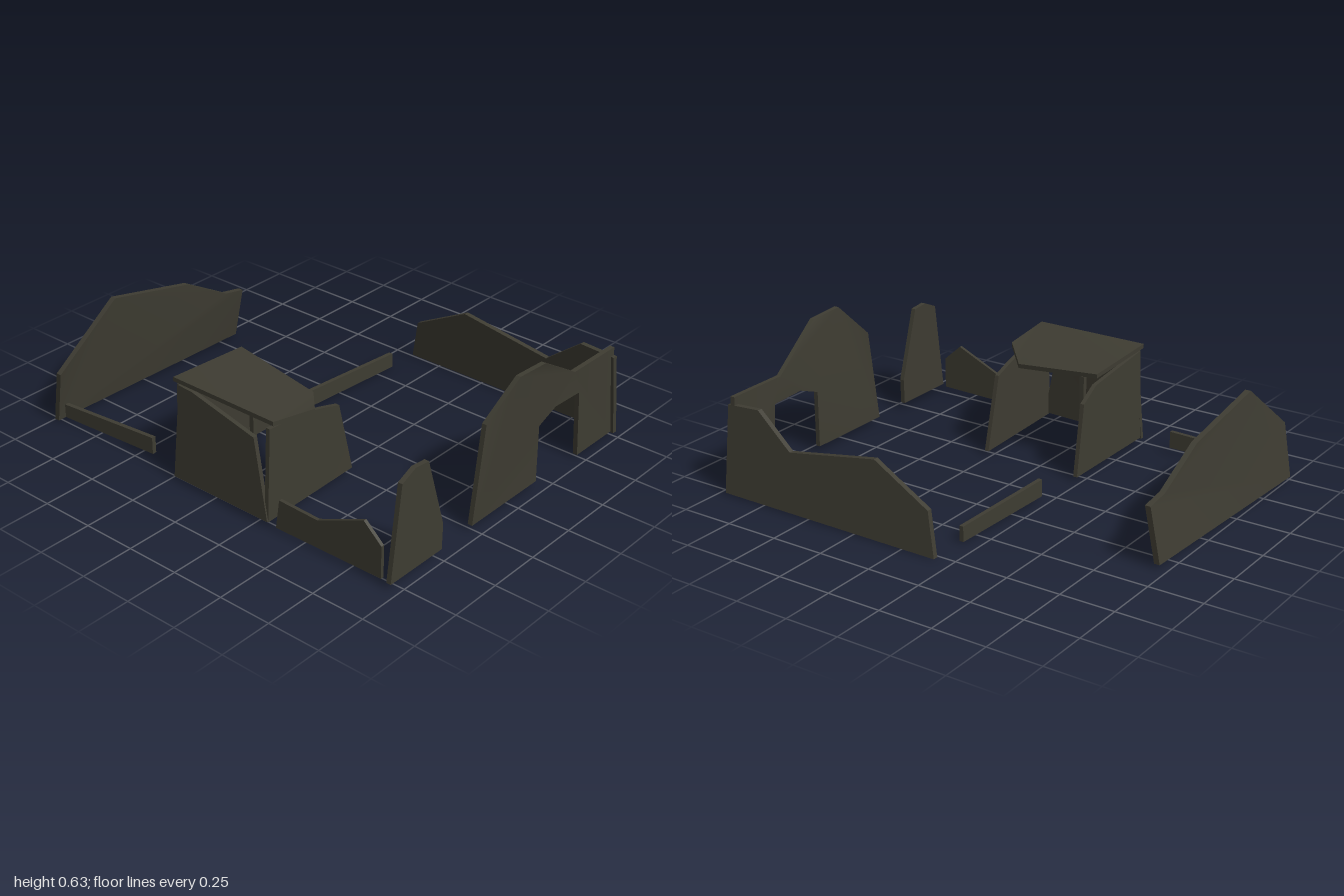
import * as THREE from 'three';

const stone = new THREE.MeshStandardMaterial({ color: 0x3e3c32 });
stone.name = 'dark stone';

// Thin slab: an outline of 3D points thickened along one axis (0 = x, 1 = y, 2 = z).
// Points may lie off the plane, so walls can lean and bow.
function slab(name, outline, axis, thickness) {
  const a = (axis + 1) % 3, b = (axis + 2) % 3;
  let flat = outline.map((p) => new THREE.Vector2(p[a], p[b]));
  let pts = outline;
  if (THREE.ShapeUtils.area(flat) < 0) {
    flat = flat.slice().reverse();
    pts = pts.slice().reverse();
  }
  const n = pts.length;
  const shifted = (p, s) => p.map((v, k) => (k === axis ? v + (s * thickness) / 2 : v));
  const front = pts.map((p) => shifted(p, 1));
  const back = pts.map((p) => shifted(p, -1));
  const pos = [...front, ...back];
  const index = [];

  // Two broad faces
  for (const [i, j, k] of THREE.ShapeUtils.triangulateShape(flat, [])) {
    index.push(i, j, k, n + i, n + k, n + j);
  }
  // Rim, with its own vertices to keep the edges sharp
  for (let i = 0; i < n; i++) {
    const j = (i + 1) % n, s = pos.length;
    pos.push(back[i], back[j], front[j], front[i]);
    index.push(s, s + 1, s + 2, s, s + 2, s + 3);
  }
  const geo = new THREE.BufferGeometry();
  geo.setAttribute('position', new THREE.Float32BufferAttribute(pos.flat(), 3));
  geo.setIndex(index);
  geo.computeVertexNormals();
  const mesh = new THREE.Mesh(geo, stone);
  mesh.name = name;
  return mesh;
}

export function createModel() {
  const model = new THREE.Group();
  model.name = 'ruinedWalls';
  const add = (...args) => model.add(slab(...args));

  // Front wall with a doorway, its peak leaning outwards
  add('doorwayWall', [
    [-0.26, 0.03, 0.945], [0.185, 0.03, 0.945], [0.185, 0.3, 0.945], [0.3, 0.343, 0.945],
    [0.475, 0.335, 0.945], [0.495, 0.015, 0.945], [0.76, 0.015, 0.945], [0.73, 0.45, 0.945],
    [0.43, 0.453, 0.945], [0.14, 0.63, 0.987], [-0.034, 0.64, 0.987], [-0.195, 0.475, 0.947],
  ], 2, 0.022);

  // Standing fragment beside the doorway
  add('frontFragment', [
    [-0.79, 0.03], [-0.47, 0.03], [-0.466, 0.15], [-0.57, 0.487], [-0.65, 0.495], [-0.73, 0.46],
  ].map(([x, y]) => [x, y, 0.953]), 2, 0.022);

  // Long side wall, leaning inwards
  add('longSideWall', [
    [0.97, 0.01], [0.97, 0.41], [0.8, 0.42], [0.615, 0.275], [0.165, 0.35], [-0.12, 0.2], [-0.165, 0.005],
  ].map(([z, y]) => [0.772 - 0.125 * y, y, z]), 0, 0.024);

  // Rear wall, slightly skewed and bowed inwards
  add('rearWall', [
    [-0.77, 0.01], [0.34, 0.02], [0.35, 0.27], [0.24, 0.29], [0, 0.425], [-0.44, 0.515], [-0.775, 0.26],
  ].map(([x, y]) => [x, y, -0.985 + 0.03 * (x + 0.77) + 0.048 * Math.min(y / 0.27, 1)]), 2, 0.026);

  // Low broken walls
  add('lowRearSideWall', [
    [-0.735, 0.025, -0.95], [-0.712, 0.035, -0.415], [-0.712, 0.115, -0.415], [-0.735, 0.09, -0.95],
  ], 0, 0.02);
  add('lowInnerWall', [
    [0.05, 0.02, -0.197], [0.595, 0.01, -0.167], [0.595, 0.08, -0.167], [0.05, 0.1, -0.197],
  ], 2, 0.02);
  add('lowFrontSideWall', [
    [0.355, 0.02], [0.375, 0.16], [0.58, 0.155], [0.82, 0.26], [0.91, 0.18], [0.91, 0.03],
  ].map(([z, y]) => [-0.775 + 0.01 * (0.91 - z), y, z]), 0, 0.016);

  // Hut: three walls, a post and a warped roof
  add('hutFrontWall', [
    [-0.775, 0.025, 0.3], [-0.225, 0.02, 0.28], [-0.31, 0.365, 0.28], [-0.42, 0.4, 0.285],
    [-0.55, 0.435, 0.29], [-0.755, 0.455, 0.3],
  ], 2, 0.02);
  add('hutRearWall', [
    [-0.75, 0.025, -0.22], [-0.205, 0.02, -0.215], [-0.26, 0.35, -0.212], [-0.36, 0.41, -0.212],
    [-0.74, 0.46, -0.215],
  ], 2, 0.02);
  add('hutSideWall', [
    [-0.772, 0.03, 0.31], [-0.755, 0.39, 0.23], [-0.74, 0.46, -0.13], [-0.735, 0.46, -0.21], [-0.76, 0.02, -0.235],
  ], 0, 0.02);
  add('hutRoof', [
    [-0.75, 0.483, -0.235], [-0.342, 0.46, -0.235], [-0.37, 0.41, 0.2], [-0.515, 0.445, 0.337], [-0.75, 0.483, 0.325],
  ], 1, 0.02);
  const post = new THREE.Mesh(new THREE.BoxGeometry(0.022, 0.42, 0.022), stone);
  post.name = 'hutPost';
  post.position.set(-0.38, 0.22, -0.14);
  model.add(post);

  return model;
}
